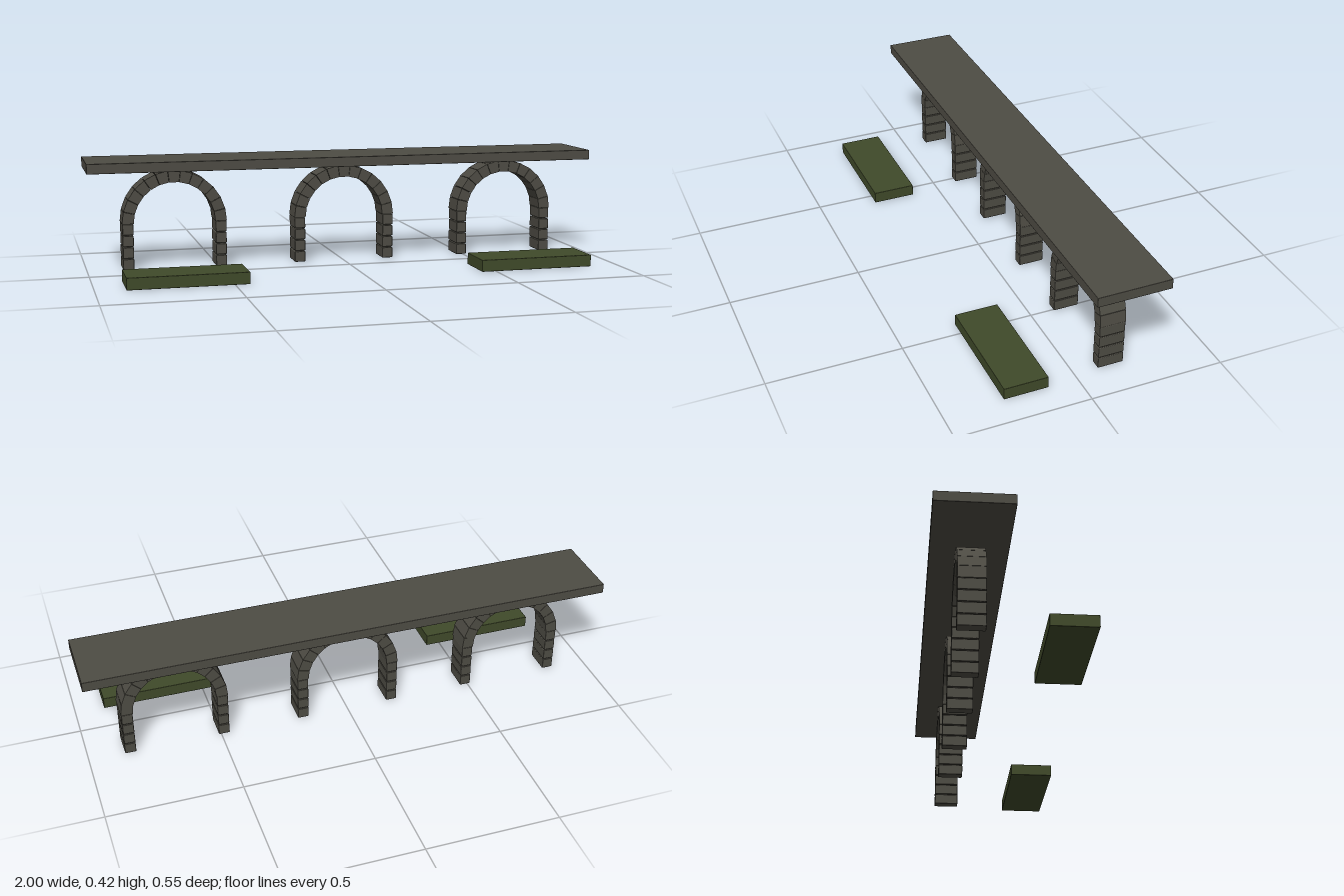
import * as THREE from 'three';
import { RoundedBoxGeometry } from 'three/addons/geometries/RoundedBoxGeometry.js';

const stone = new THREE.MeshStandardMaterial({ name: 'weathered stone', color: 0x4e4c44 });
const moss = new THREE.MeshStandardMaterial({ name: 'moss green', color: 0x404a2a });

function block(name, size, position, material, bevel) {
  const mesh = new THREE.Mesh(new RoundedBoxGeometry(...size, 1, bevel), material);
  mesh.name = name;
  mesh.position.set(...position);
  return mesh;
}

// Arch proportions
const INNER = 0.156, OUTER = 0.2, SPRING = 0.178, DEPTH = 0.098;
const WEDGES = 13, COURSES = 4, PITCH = SPRING / COURSES;

// One straight-sided wedge stone between two angles
function wedgeGeometry(a, b) {
  const at = (r, t) => new THREE.Vector2(r * Math.cos(t), r * Math.sin(t));
  const shape = new THREE.Shape([at(INNER, a), at(OUTER, a), at(OUTER, b), at(INNER, b)]);
  return new THREE.ExtrudeGeometry(shape, { depth: DEPTH, bevelEnabled: false })
    .translate(0, 0, -DEPTH / 2);
}

function createArch() {
  const arch = new THREE.Group();
  arch.name = 'arch';
  // Stacked pier stones on both sides
  for (const side of [-1, 1]) {
    for (let i = 0; i < COURSES; i++) {
      arch.add(block('pierStone', [OUTER - INNER - 0.002, PITCH - 0.003, DEPTH],
        [side * SPRING, 0.001 + (i + 0.5) * PITCH, 0], stone, 0.003));
    }
  }
  // Ring of wedge stones with hairline joints
  const step = Math.PI / WEDGES, joint = 0.004;
  for (let i = 0; i < WEDGES; i++) {
    const wedge = new THREE.Mesh(wedgeGeometry(i * step + joint, (i + 1) * step - joint), stone);
    wedge.name = 'archStone';
    wedge.position.y = SPRING;
    arch.add(wedge);
  }
  return arch;
}

export function createModel() {
  const model = new THREE.Group();
  model.name = 'arcade';

  // Long flat deck
  model.add(block('deck', [2, 0.038, 0.277], [0, 0.402, -0.1385], stone, 0.002));

  // Three free-standing arches under it
  for (const x of [-0.667, 0, 0.667]) {
    const arch = createArch();
    arch.position.set(x, 0, -0.138);
    model.add(arch);
  }

  // Low planting beds in front of the outer arches
  for (const side of [-1, 1]) {
    model.add(block('plantingBed', [0.445, 0.045, 0.166], [side * 0.667, 0.0225, 0.194], moss, 0.002));
  }
  return model;
}
